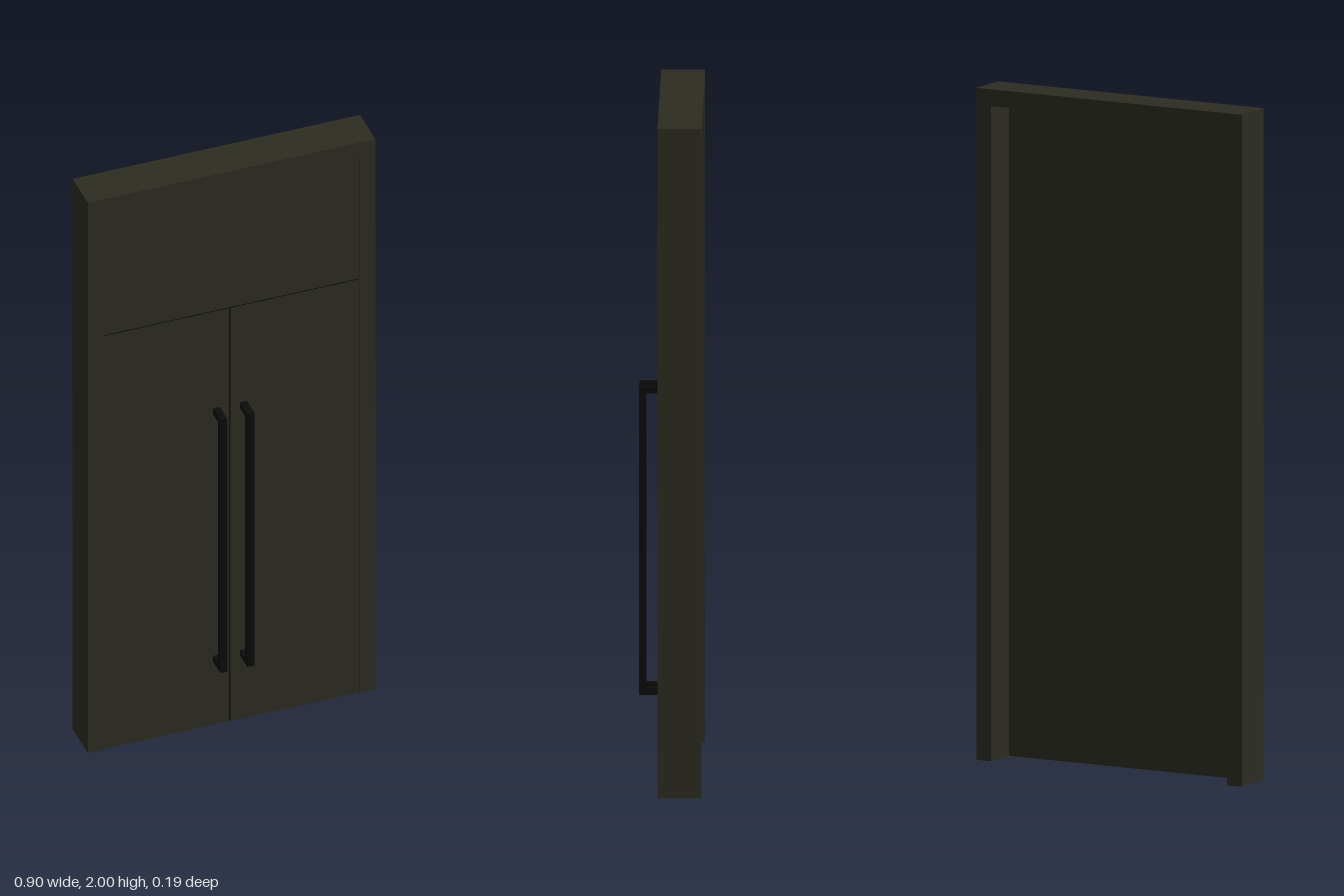
import * as THREE from 'three';

const paint = new THREE.MeshStandardMaterial({ name: 'dark olive paint', color: 0x2d2c22 });
const black = new THREE.MeshStandardMaterial({ name: 'black metal', color: 0x0b0b0b });
const shade = new THREE.MeshStandardMaterial({ name: 'gap black', color: 0x0e0d0a });

// Box given by its lower and upper corners
function box(parent, name, material, [x0, y0, z0], [x1, y1, z1]) {
  const mesh = new THREE.Mesh(new THREE.BoxGeometry(x1 - x0, y1 - y0, z1 - z0), material);
  mesh.position.set((x0 + x1) / 2, (y0 + y1) / 2, (z0 + z1) / 2);
  mesh.name = name;
  parent.add(mesh);
}

export function createModel() {
  const model = new THREE.Group();
  model.name = 'doubleDoor';
  const W = 0.45, H = 2, JAMB = 0.05;
  const back = -0.0935, front = 0.0345, face = 0.0315, inner = 0.0125;
  const inX = W - JAMB, inY = H - JAMB;
  const seamX = -0.0045, seamY = 1.502, gap = 0.002;

  // Surround: one U-shaped frame, open at the floor
  const u = new THREE.Shape([
    [-W, 0], [-inX, 0], [-inX, inY], [inX, inY], [inX, 0], [W, 0], [W, H], [-W, H],
  ].map(([x, y]) => new THREE.Vector2(x, y)));
  const frame = new THREE.Mesh(
    new THREE.ExtrudeGeometry(u, { depth: front - back, bevelEnabled: false }), paint);
  frame.position.z = back;
  frame.name = 'frame';
  model.add(frame);

  // Backing panel, dark seam plates and the three front panels
  box(model, 'backPanel', paint, [-inX, 0, inner], [inX, inY, face - 0.004]);
  box(model, 'leafSeam', shade, [seamX - gap, 0, face - 0.004], [seamX + gap, seamY, face - 0.001]);
  box(model, 'transomSeam', shade, [-inX, seamY - gap, face - 0.004], [inX, seamY + gap, face - 0.001]);
  box(model, 'transomPanel', paint, [-inX, seamY + gap, face - 0.004], [inX, inY, face]);
  box(model, 'rightLeaf', paint, [-inX, 0, face - 0.004], [seamX - gap, seamY - gap, face]);
  box(model, 'leftLeaf', paint, [seamX + gap, 0, face - 0.004], [inX, seamY - gap, face]);

  // Long square pull handles on either side of the seam
  const t = 0.022, low = 0.23, high = 1.15, tip = 0.0935;
  for (const side of [-1, 1]) {
    const handle = new THREE.Group();
    handle.name = side < 0 ? 'rightHandle' : 'leftHandle';
    const x = seamX + side * 0.0425;
    const a = x - t / 2, b = x + t / 2;
    box(handle, 'handleBar', black, [a, low, tip - 0.02], [b, high, tip]);
    for (const y of [low, high - 0.02]) {
      box(handle, 'handlePost', black, [a, y, face - 0.002], [b, y + 0.02, tip - 0.02]);
    }
    model.add(handle);
  }
  return model;
}
